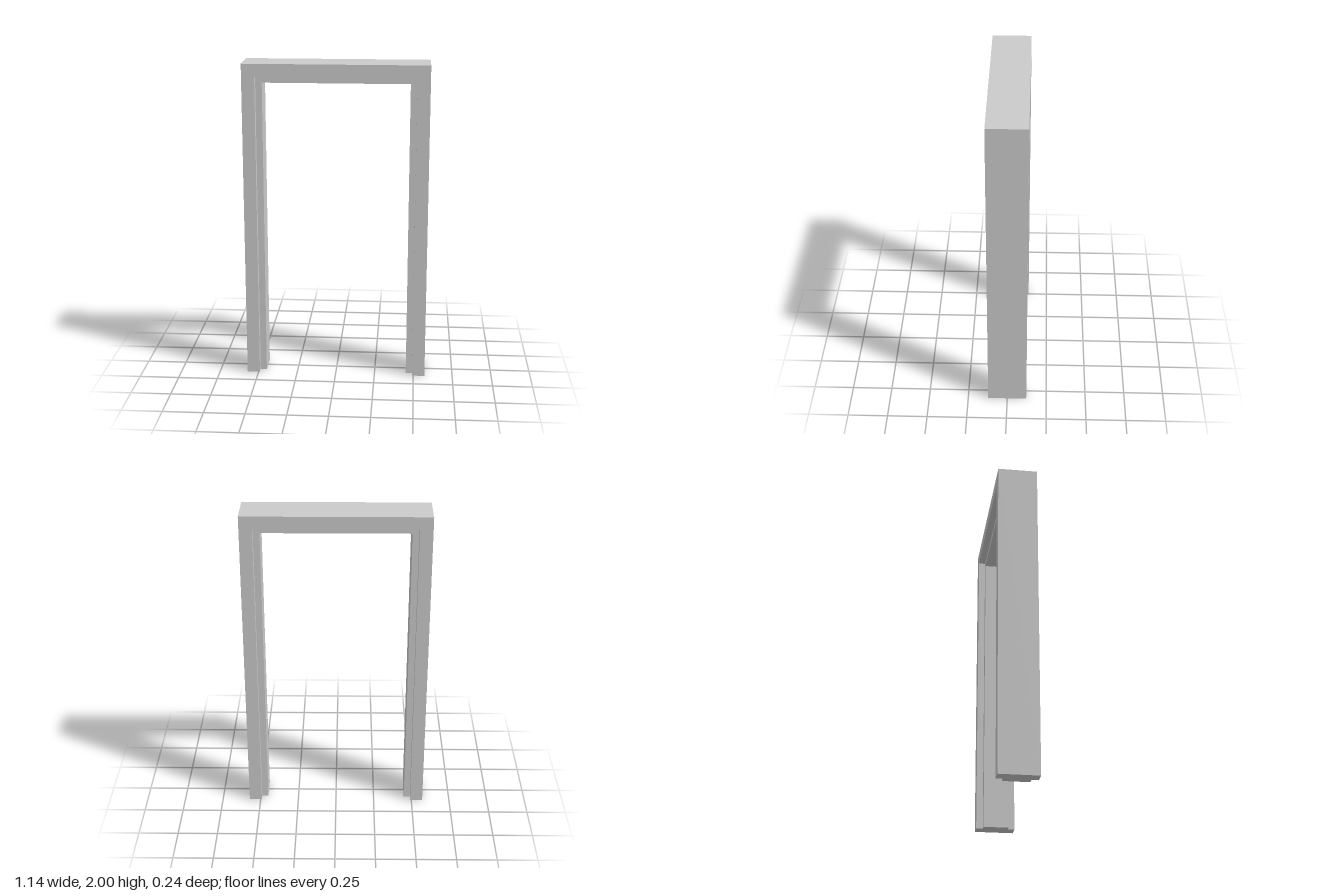
import * as THREE from 'three';

const HALF_WIDTH = 0.572;
const HEIGHT = 2;
const HALF_DEPTH = 0.122;
const FACE = 0.08;        // width of the front and back faces
const STOP = 0.12;        // reach of the raised stop in the middle
const STOP_HALF = 0.08;   // half the depth of the stop

export function createModel() {
  const group = new THREE.Group();
  group.name = 'doorFrame';

  // Cross-section: x is the distance inward from the outer edge, y the depth
  const profile = new THREE.Shape([
    [0, -HALF_DEPTH], [FACE, -HALF_DEPTH], [FACE, -STOP_HALF], [STOP, -STOP_HALF],
    [STOP, STOP_HALF], [FACE, STOP_HALF], [FACE, HALF_DEPTH], [0, HALF_DEPTH],
  ].map(([x, y]) => new THREE.Vector2(x, y)));

  // Sweep up one jamb, across the head and down the other, with mitred corners
  const stations = [
    d => [-HALF_WIDTH + d, 0],
    d => [-HALF_WIDTH + d, HEIGHT - d],
    d => [HALF_WIDTH - d, HEIGHT - d],
    d => [HALF_WIDTH - d, 0],
  ];
  const geometry = new THREE.ExtrudeGeometry(profile, { depth: 3, steps: 3, bevelEnabled: false });
  const pos = geometry.attributes.position;
  for (let i = 0; i < pos.count; i++) {
    const [x, y] = stations[Math.round(pos.getZ(i))](pos.getX(i));
    pos.setXYZ(i, x, y, -pos.getY(i));
  }
  geometry.computeVertexNormals();

  const frame = new THREE.Mesh(
    geometry,
    new THREE.MeshStandardMaterial({ color: 0xcccccc, flatShading: true }),
  );
  frame.name = 'jambsAndHead';
  group.add(frame);
  return group;
}
